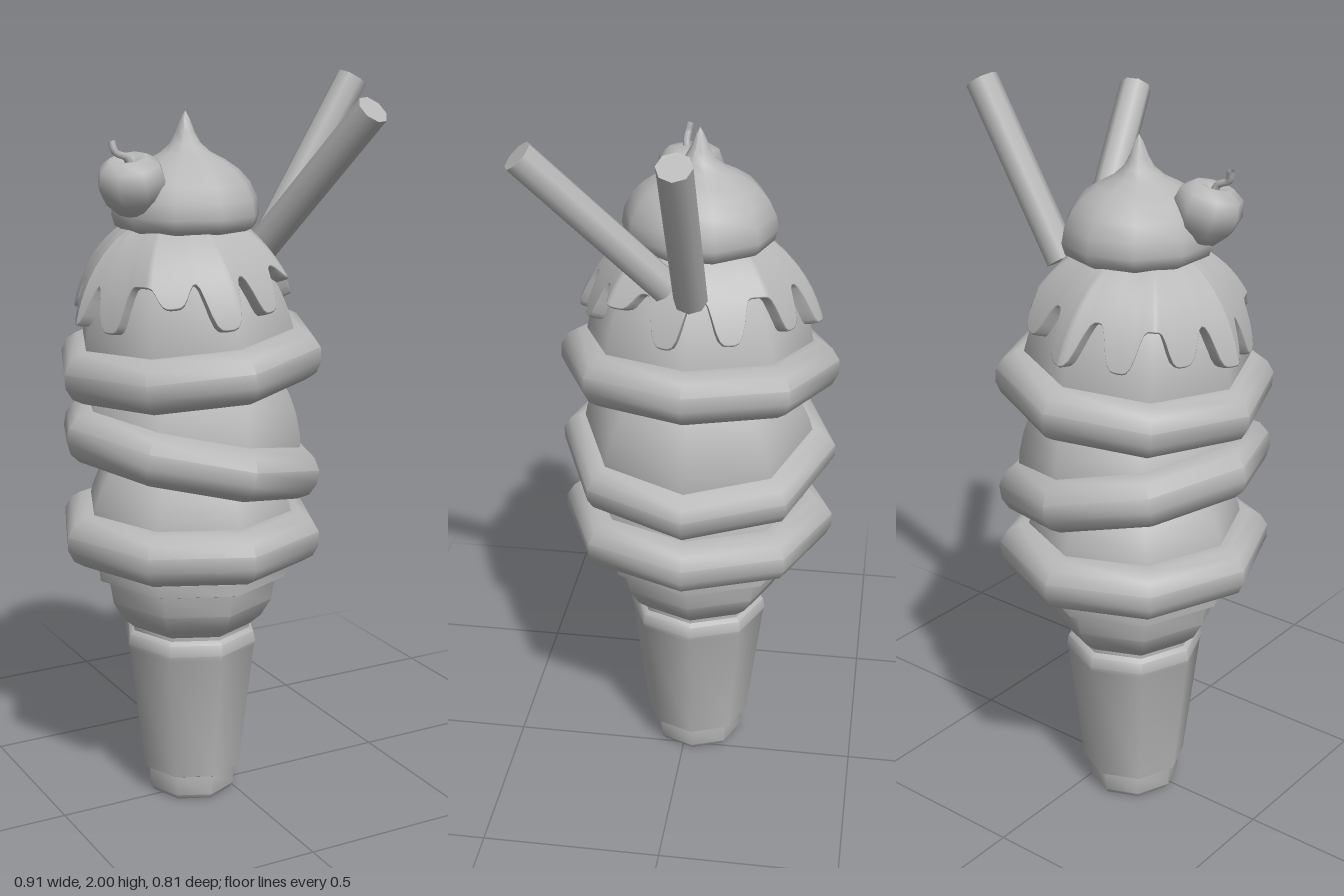
import * as THREE from 'three';
import { toCreasedNormals } from 'three/addons/utils/BufferGeometryUtils.js';

const SIDES = 8;
const grey = new THREE.MeshStandardMaterial({ color: 0xb8b8b8 });
grey.name = 'plain grey';
const greyShell = new THREE.MeshStandardMaterial({ color: 0xb8b8b8, side: THREE.DoubleSide });
greyShell.name = 'plain grey';

function part(name, geometry, material = grey) {
  const m = new THREE.Mesh(geometry, material);
  m.name = name;
  return m;
}

// Turned solid from [radius, y] pairs, bottom to top
function turned(name, profile, sides = SIDES, crease = 0.9) {
  const pts = profile.map(([r, y]) => new THREE.Vector2(r, y));
  return part(name, toCreasedNormals(new THREE.LatheGeometry(pts, sides), crease));
}

const domeRadius = (y, r, h) => r * Math.sqrt(Math.max(0, 1 - (y / h) ** 2));

// One scoop: a faceted collar with a dome rising out of it
function scoop(name, y, tilt, r, h) {
  const g = new THREE.Group();
  g.name = name;
  g.position.y = y;
  g.rotation.z = tilt;
  g.add(turned('collar', [
    [0, -0.07], [0.335, -0.07], [0.365, -0.052], [0.382, -0.02], [0.382, 0.018],
    [0.362, 0.05], [0.33, 0.068], [0.29, 0.07], [0.2, 0.06],
  ]));
  const dome = [];
  for (let i = 0; i <= 10; i++) {
    const a = (i / 10) * Math.PI / 2;
    dome.push([r * Math.cos(a), h * Math.sin(a)]);
  }
  g.add(turned('dome', dome));
  return g;
}

// Syrup cap hugging an eight-sided dome, its lower edge running down in drips
function syrup(r, h) {
  const drips = [[-68, 0.12], [-32, 0.18], [-6, 0.115], [22, 0.13], [50, 0.19], [80, 0.115],
    [112, 0.125], [148, 0.14], [178, 0.12], [208, 0.13], [240, 0.15], [267, 0.13]];
  const cols = 192, rows = 14, top = h * 0.97, rest = 0.235;
  const pos = [], idx = [];
  for (let i = 0; i <= cols; i++) {
    const deg = -90 + (i / cols) * 360;
    const phi = deg * Math.PI / 180;
    let edge = rest;
    for (const [d, y] of drips) {
      const gap = Math.abs(((deg - d + 540) % 360) - 180);
      edge -= (rest - y) * Math.exp(-((gap / 9) ** 4));
    }
    // flat-sided radius factor matching the dome
    const within = ((deg + 360) % 45 - 22.5) * Math.PI / 180;
    const flat = Math.cos(Math.PI / 8) / Math.cos(within);
    for (let j = 0; j <= rows; j++) {
      const k = Math.min(1, j / (rows - 3));
      const lip = [0.034, 0.028, 0.012, -0.01][Math.max(0, j - (rows - 3))];
      const y = top + (edge - top) * Math.sin(k * Math.PI / 2) - Math.max(0, j - (rows - 3)) * 0.004;
      const rad = domeRadius(y, r, h) * flat + lip;
      pos.push(rad * Math.sin(phi), y + 0.012, rad * Math.cos(phi));
      if (i < cols && j < rows) {
        const a = i * (rows + 1) + j, b = a + rows + 1;
        idx.push(a, a + 1, b, b, a + 1, b + 1);
      }
    }
  }
  const geo = new THREE.BufferGeometry();
  geo.setAttribute('position', new THREE.Float32BufferAttribute(pos, 3));
  geo.setIndex(idx);
  geo.computeVertexNormals();
  return part('syrup', geo, greyShell);
}

// Wafer straw between two points
function straw(name, from, to) {
  const a = new THREE.Vector3(...from), b = new THREE.Vector3(...to);
  const dir = b.clone().sub(a);
  const m = part(name, new THREE.CylinderGeometry(0.044, 0.044, dir.length(), SIDES));
  m.position.copy(a).addScaledVector(dir, 0.5);
  m.quaternion.setFromUnitVectors(new THREE.Vector3(0, 1, 0), dir.normalize());
  return m;
}

export function createModel() {
  const model = new THREE.Group();
  model.name = 'iceCream';

  // Cone and scoops share one upright axis, slightly narrower across x
  const body = new THREE.Group();
  body.name = 'body';
  body.position.set(-0.095, 0, -0.028);
  body.scale.x = 0.95;
  model.add(body);

  body.add(turned('cone', [
    [0, 0], [0.122, 0], [0.133, 0.015], [0.133, 0.07], [0.15, 0.078],
    [0.194, 0.44], [0.199, 0.455], [0.193, 0.485], [0.18, 0.495], [0.18, 0.505],
    [0.215, 0.535], [0.245, 0.585], [0.255, 0.645], [0.284, 0.655], [0.286, 0.688], [0, 0.688],
  ], SIDES, 0.8));

  body.add(scoop('lowerScoop', 0.775, 0, 0.31, 0.3));
  body.add(scoop('middleScoop', 1.0, -0.2, 0.325, 0.34));
  const upper = scoop('upperScoop', 1.257, 0.1, 0.315, 0.38);
  upper.add(syrup(0.315, 0.38));
  body.add(upper);

  // Whipped topping with a pulled tip
  const cream = turned('whippedCream', [
    [0, 1.585], [0.16, 1.59], [0.198, 1.61], [0.207, 1.64], [0.2, 1.68], [0.18, 1.72],
    [0.15, 1.752], [0.11, 1.778], [0.07, 1.798], [0.042, 1.822], [0.026, 1.85], [0.012, 1.885], [0, 1.905],
  ], 10, 1.1);
  cream.position.set(-0.005, 0, 0);
  body.add(cream);

  // Cherry with a dimple and a bent stem
  const cherry = new THREE.Group();
  cherry.name = 'cherry';
  cherry.position.set(-0.277, 1.725, 0.02);
  cherry.rotation.set(0.15, 0, 0.2);
  cherry.add(turned('fruit', [
    [0, -0.082], [0.045, -0.072], [0.078, -0.035], [0.092, 0.01], [0.082, 0.05],
    [0.05, 0.072], [0.022, 0.066], [0, 0.05],
  ], SIDES, 1.2));
  model.add(cherry);
  const stemPath = new THREE.CatmullRomCurve3([
    new THREE.Vector3(-0.285, 1.765, 0.03), new THREE.Vector3(-0.298, 1.795, 0.035),
    new THREE.Vector3(-0.33, 1.81, 0.036), new THREE.Vector3(-0.338, 1.838, 0.03),
  ]);
  model.add(part('cherryStem', new THREE.TubeGeometry(stemPath, 10, 0.01, 6), greyShell));

  // Two wafer straws leaning out of the top scoop
  model.add(straw('sideStraw', [0.145, 1.535, -0.038], [0.417, 1.978, -0.038]));
  model.add(straw('frontStraw', [0.1, 1.545, 0.03], [0.22, 1.918, 0.372]));

  return model;
}
